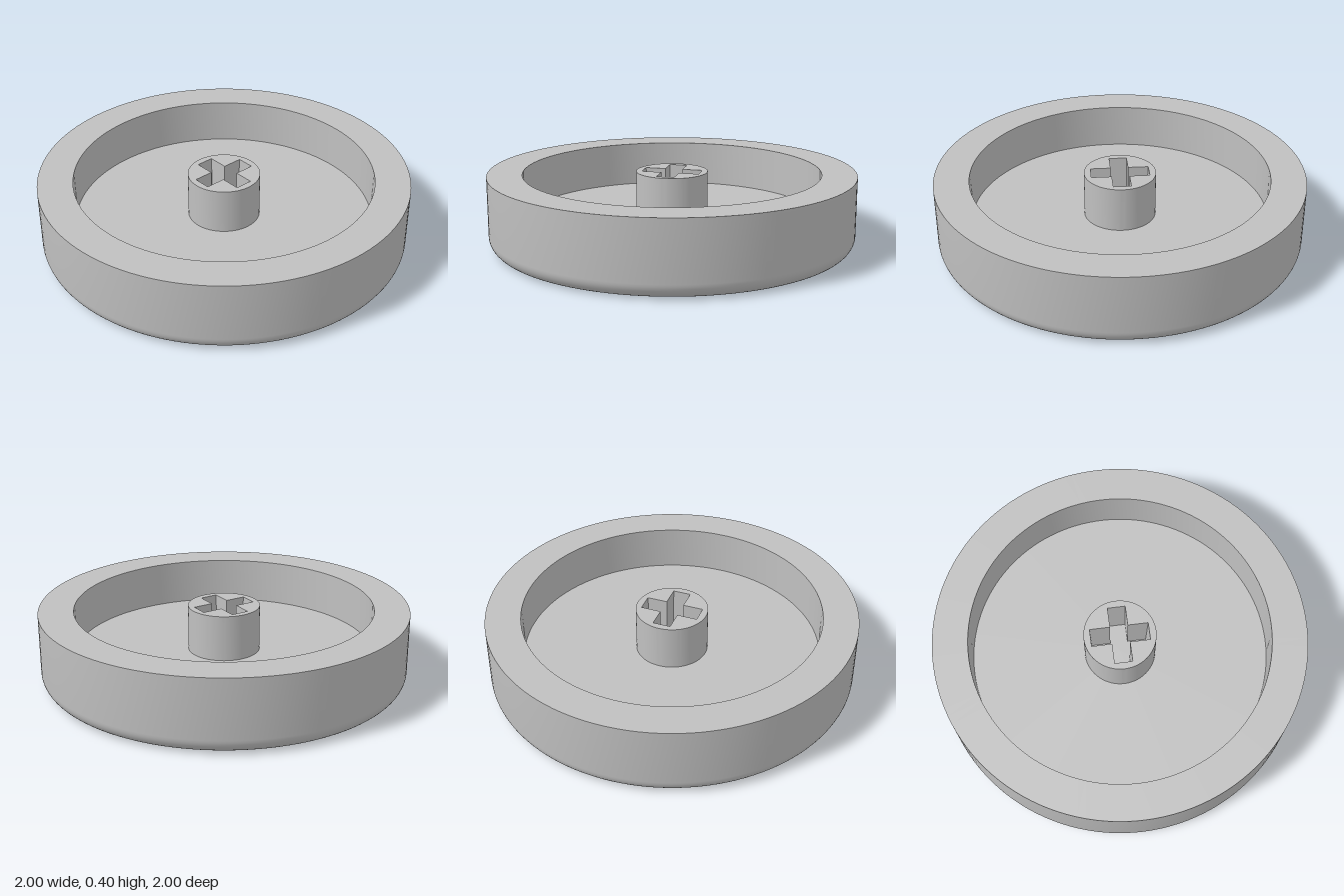
import * as THREE from 'three';
import { toCreasedNormals } from 'three/addons/utils/BufferGeometryUtils.js';

const HEIGHT = 0.4, FLOOR = 0.15, INNER = 0.81, FILLET = 0.08;
const STEM = 0.195, ARM = 0.158, ARM_LOW = 0.15, HALF = 0.048;

// Plus-shaped outline for the socket
function crossPath(l, w) {
  const pts = [];
  for (let i = 0; i < 4; i++) {
    const c = Math.round(Math.cos(i * Math.PI / 2)), s = Math.round(Math.sin(i * Math.PI / 2));
    for (const [x, y] of [[l, -w], [l, w], [w, w]])
      pts.push(new THREE.Vector2(x * c - y * s, x * s + y * c));
  }
  return new THREE.Path(pts);
}

export function createModel() {
  const group = new THREE.Group();
  group.name = 'roundCap';
  const grey = new THREE.MeshStandardMaterial({ color: 0xc0c0c0 });
  grey.name = 'grey';

  // Dish: rounded bottom edge, flat rim, recessed floor
  const profile = [new THREE.Vector2(0, 0)];
  for (let i = 0; i <= 10; i++) {
    const a = (i / 10) * Math.PI / 2;
    profile.push(new THREE.Vector2(1 - FILLET + FILLET * Math.sin(a), FILLET - FILLET * Math.cos(a)));
  }
  for (const [r, y] of [[1, HEIGHT], [INNER, HEIGHT], [INNER, FLOOR], [0, FLOOR]])
    profile.push(new THREE.Vector2(r, y));
  const dish = new THREE.Mesh(toCreasedNormals(new THREE.LatheGeometry(profile, 128), 0.6), grey);
  dish.name = 'dish';

  // Stem: cylinder with a plus-shaped socket down to the floor
  const outline = new THREE.Shape().absarc(0, 0, STEM, 0, Math.PI * 2, false);
  outline.holes.push(crossPath(ARM, HALF));
  const stemGeo = new THREE.ExtrudeGeometry(outline, {
    depth: HEIGHT - FLOOR, bevelEnabled: false, curveSegments: 64,
  });
  // Slight draft: the socket arms are shorter at the bottom
  const pos = stemGeo.attributes.position;
  for (let i = 0; i < pos.count; i++) {
    const x = pos.getX(i), y = pos.getY(i);
    if (pos.getZ(i) > 0.01 || Math.hypot(x, y) > STEM - 0.01) continue;
    if (Math.abs(x) > 0.1) pos.setX(i, Math.sign(x) * ARM_LOW);
    if (Math.abs(y) > 0.1) pos.setY(i, Math.sign(y) * ARM_LOW);
  }
  stemGeo.rotateX(-Math.PI / 2);
  const stem = new THREE.Mesh(toCreasedNormals(stemGeo, 0.6), grey);
  stem.name = 'stem';
  stem.position.y = FLOOR;

  group.add(dish, stem);
  return group;
}
